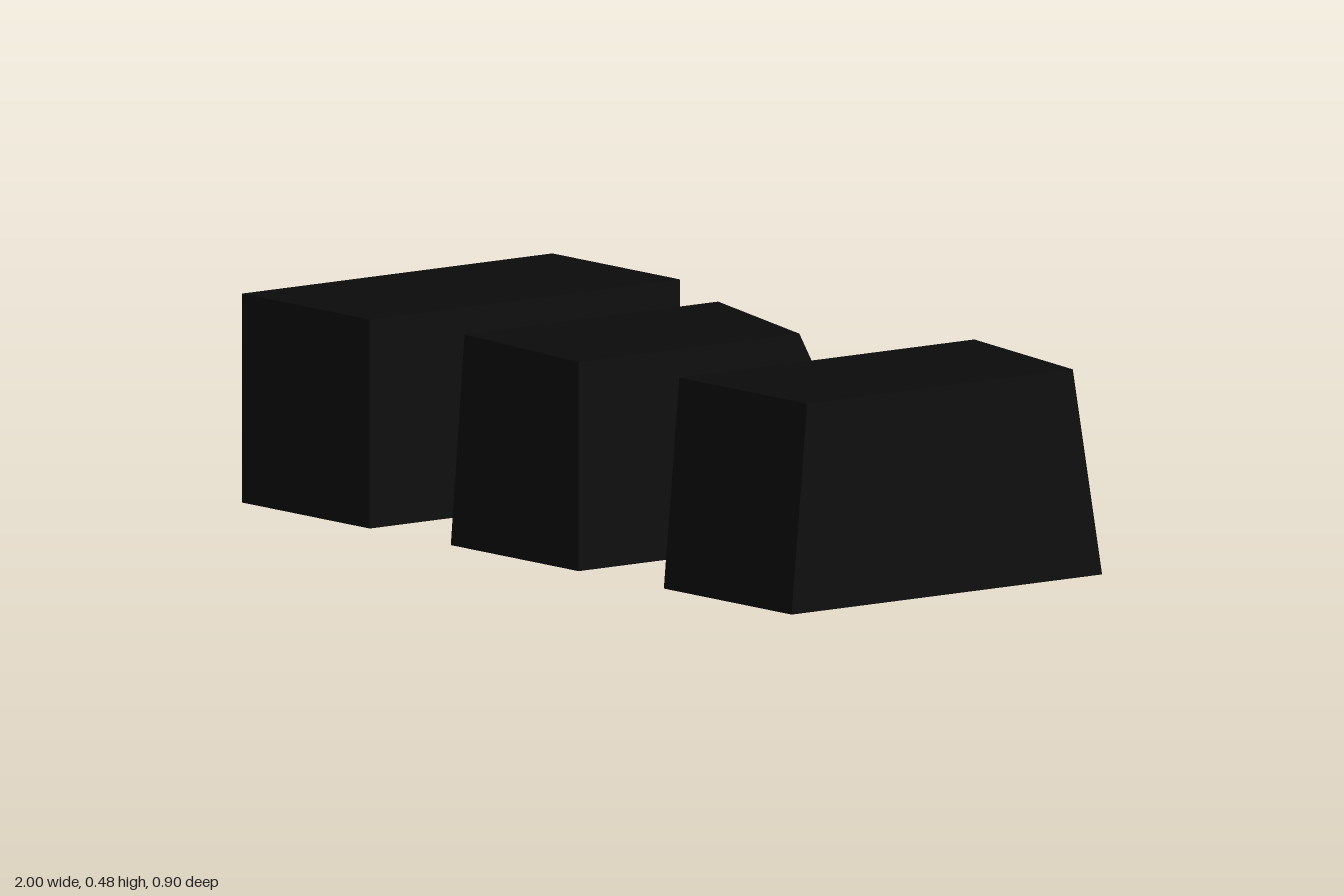
import * as THREE from 'three';

const WIDTH = 0.465, HEIGHT = 0.48, DEPTH = 0.9;

// Box whose top corners are moved in z; front/back give [z at -x side, z at +x side]
function slantedBlock(front, back) {
  const geometry = new THREE.BoxGeometry(WIDTH, HEIGHT, DEPTH).toNonIndexed();
  const p = geometry.attributes.position;
  for (let i = 0; i < p.count; i++) {
    if (p.getY(i) < 0) continue;
    const side = p.getX(i) > 0 ? 1 : 0;
    p.setZ(i, (p.getZ(i) > 0 ? front : back)[side]);
  }
  geometry.computeVertexNormals();
  return geometry;
}

export function createModel() {
  const model = new THREE.Group();
  model.name = 'threeBlocks';
  const black = new THREE.MeshStandardMaterial({ color: 0x0a0a0a });
  black.name = 'black';

  // Row of blocks: one straight, two with slanted ends
  const blocks = [
    { name: 'straightBlock', x: -0.7675, front: [0.45, 0.45], back: [-0.45, -0.45] },
    { name: 'twistedBlock', x: -0.0075, front: [0.41, 0.45], back: [-0.325, -0.19] },
    { name: 'taperedBlock', x: 0.7675, front: [0.405, 0.405], back: [-0.45, -0.365] },
  ];
  for (const { name, x, front, back } of blocks) {
    const mesh = new THREE.Mesh(slantedBlock(front, back), black);
    mesh.name = name;
    mesh.position.set(x, HEIGHT / 2, 0);
    model.add(mesh);
  }
  return model;
}
